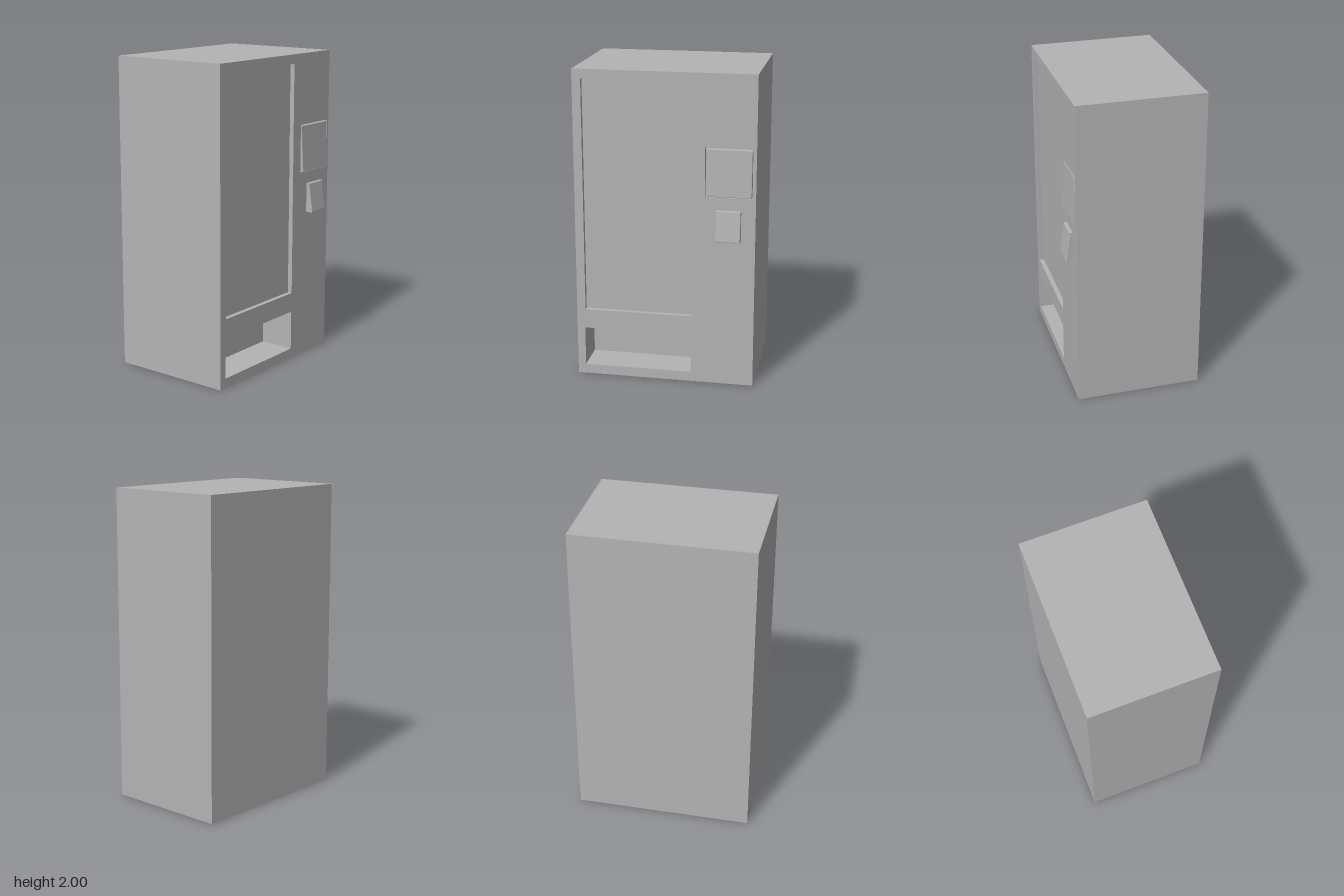
import * as THREE from 'three';

const grey = new THREE.MeshStandardMaterial({ color: 0xb4b4b4 });
grey.name = 'cabinet grey';

const FRONT = 0.378, BACK = -0.425, HALF = 0.57, TOP = 2;

// Recesses in the front: x0, x1, y0, y1, depth
const recesses = [
  { name: 'displayWindow', x0: -0.515, x1: 0.175, y0: 0.445, y1: 1.94, depth: 0.03 },
  { name: 'dispensingBin', x0: -0.52, x1: 0.172, y0: 0.063, y1: 0.318, depth: 0.23 },
  { name: 'controlRecess', x0: 0.255, x1: 0.552, y0: 1.235, y1: 1.545, depth: 0.03 },
];

function add(group, name, geometry) {
  const mesh = new THREE.Mesh(geometry, grey);
  mesh.name = name;
  group.add(mesh);
}

// Box without its front face; inward turns the faces to the inside
function openBox(x0, x1, y0, y1, z0, z1, inward) {
  const g = new THREE.BoxGeometry(x1 - x0, y1 - y0, z1 - z0);
  const index = Array.from(g.index.array).filter((_, i) => i < 24 || i >= 30);
  if (inward) index.reverse();
  g.setIndex(index);
  g.clearGroups();
  if (inward) g.attributes.normal.array.forEach((v, i, a) => { a[i] = -v; });
  return g.translate((x0 + x1) / 2, (y0 + y1) / 2, (z0 + z1) / 2);
}

function rectangle(PathType, x0, x1, y0, y1) {
  return new PathType([[x0, y0], [x1, y0], [x1, y1], [x0, y1]].map(([x, y]) => new THREE.Vector2(x, y)));
}

// Bevelled plate whose front leans back from zBottom to zTop
function slantedPlate(x0, x1, y0, y1, zBack, zBottom, zTop, bevel) {
  const g = new THREE.ExtrudeGeometry(rectangle(THREE.Shape, x0, x1, y0, y1), {
    depth: zBottom - zBack - 2 * bevel, bevelEnabled: true, bevelSize: bevel,
    bevelThickness: bevel, bevelOffset: -bevel, bevelSegments: 2,
  });
  g.translate(0, 0, zBack + bevel);
  const p = g.attributes.position, middle = (zBack + zBottom) / 2;
  for (let i = 0; i < p.count; i++) {
    if (p.getZ(i) > middle) {
      p.setZ(i, p.getZ(i) - (zBottom - zTop) * (p.getY(i) - y0) / (y1 - y0));
    }
  }
  g.computeVertexNormals();
  return g;
}

export function createModel() {
  const model = new THREE.Group();
  model.name = 'vendingMachine';

  // Cabinet sides, top, bottom and back
  add(model, 'cabinet', openBox(-HALF, HALF, 0, TOP, BACK, FRONT, false));

  // Front face with openings
  const face = rectangle(THREE.Shape, -HALF, HALF, 0, TOP);
  for (const r of recesses) face.holes.push(rectangle(THREE.Path, r.x0, r.x1, r.y0, r.y1));
  add(model, 'frontFace', new THREE.ShapeGeometry(face).translate(0, 0, FRONT));

  // Walls and backs of the openings
  for (const r of recesses) {
    add(model, r.name, openBox(r.x0, r.x1, r.y0, r.y1, FRONT - r.depth, FRONT, true));
  }

  // Tilted control panel and coin box
  add(model, 'controlPanel', slantedPlate(0.264, 0.545, 1.241, 1.538, 0.349, 0.393, 0.377, 0.004));
  add(model, 'coinBox', slantedPlate(0.328, 0.481, 0.963, 1.155, 0.36, 0.425, 0.398, 0.005));

  return model;
}
